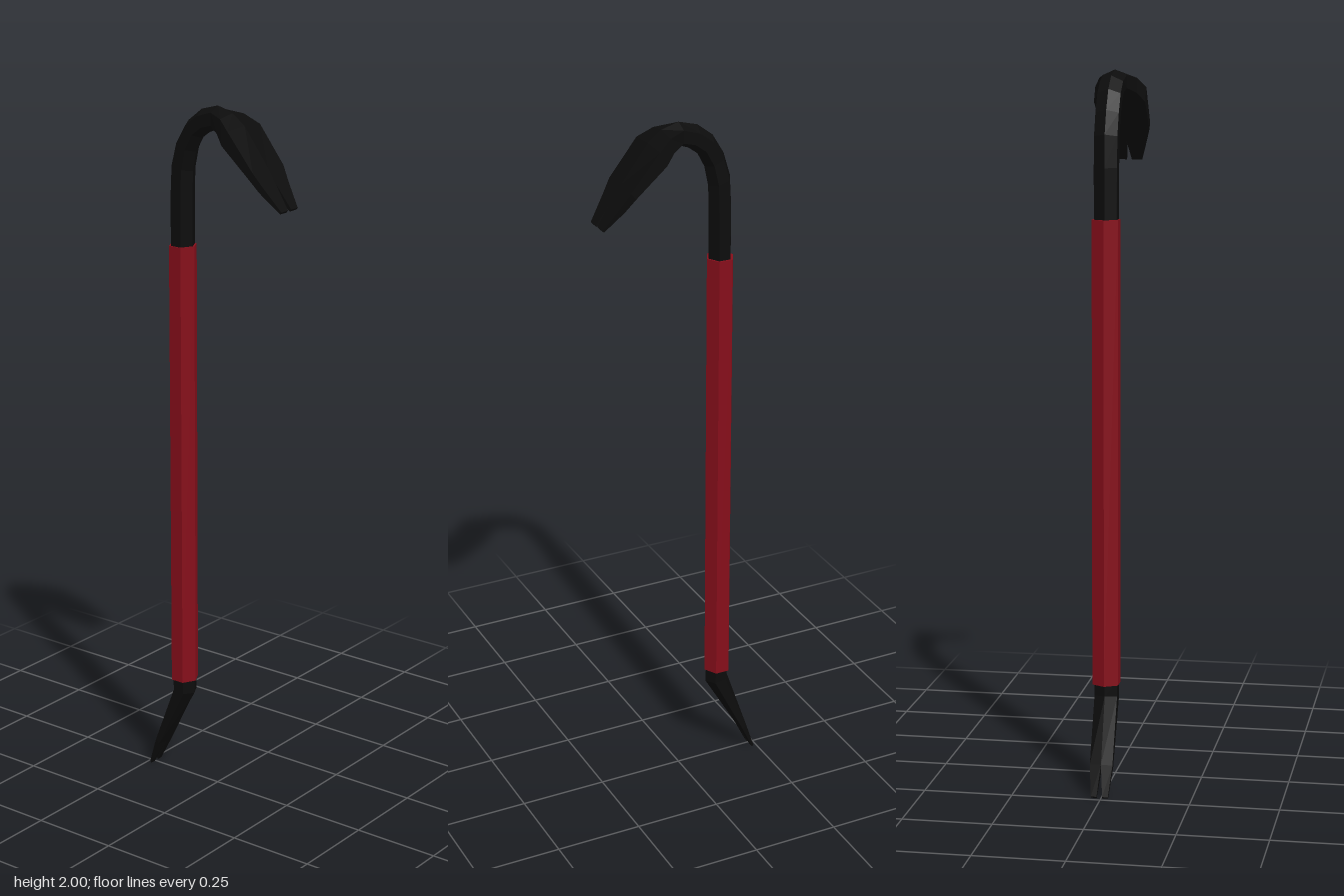
import * as THREE from 'three';

const black = new THREE.MeshStandardMaterial({ color: 0x0c0c0c, flatShading: true });
const red = new THREE.MeshStandardMaterial({ color: 0x850e1a, flatShading: true });

// Station: outer z, outer y, inner z, inner y, half width, side fraction, centre x, half gap
const lowerTip = [-0.239, 0.005, -0.234, 0.0, 0.024, 0.9, 0.004, 0.008];
const lowerFork = [-0.212, 0.09, -0.195, 0.075, 0.032, 0.7, 0.004, 0];
const upperFork = [0.195, 1.812, 0.182, 1.795, 0.057, 0.9, -0.001, 0];
const upperTip = [0.24, 1.748, 0.235, 1.742, 0.037, 0.9, 0.0, 0.007];

const shaft = [
  lowerFork,
  [-0.157, 0.27, -0.088, 0.26, 0.032, 0.5, 0.003, 0],
  [-0.157, 0.31, -0.089, 0.31, 0.032, 0.5, 0.003, 0],
  [-0.157, 1.74, -0.089, 1.74, 0.032, 0.5, 0.003, 0],
  [-0.152, 1.83, -0.087, 1.81, 0.032, 0.5, 0.003, 0],
  [-0.133, 1.895, -0.076, 1.865, 0.032, 0.5, 0.002, 0],
  [-0.1, 1.95, -0.055, 1.905, 0.032, 0.5, 0.002, 0],
  [-0.055, 1.985, -0.028, 1.925, 0.032, 0.5, 0.002, 0],
  [0.0, 2.0, 0.0, 1.935, 0.033, 0.55, 0.001, 0],
  [0.05, 1.985, 0.035, 1.927, 0.053, 0.7, 0, 0],
  [0.09, 1.955, 0.065, 1.905, 0.072, 0.8, 0, 0],
  [0.17, 1.85, 0.155, 1.83, 0.069, 0.9, -0.001, 0],
  upperFork,
];

// Turns a station and its (across, through) outline into a ring of points
function ring([oz, oy, iz, iy, , , cx], outline) {
  return outline.map(([x, n]) => [
    cx + x, (oy + iy) / 2 + n * (oy - iy) / 2, (oz + iz) / 2 + n * (oz - iz) / 2,
  ]);
}

// Six-sided section of the bar
function hexRing(s) {
  const w = s[4], f = s[5];
  return ring(s, [[0, -1], [w, -f], [w, f], [0, 1], [-w, f], [-w, -f]]);
}

// Four-sided section of one prong, side = 1 or -1
function prongRing(s, side) {
  const w = s[4], f = s[5], g = s[7];
  const outline = [[g, -1], [w, -f], [w, f], [g, 1]].map(([x, n]) => [x * side, n]);
  return ring(s, side > 0 ? outline : outline.reverse());
}

// Skins a row of rings and closes both ends
function loft(rings, name) {
  const pos = [];
  const tri = (a, b, c) => pos.push(...a, ...b, ...c);
  const n = rings[0].length;
  for (let k = 0; k < rings.length - 1; k++) {
    const a = rings[k], b = rings[k + 1];
    for (let i = 0; i < n; i++) {
      const j = (i + 1) % n;
      tri(a[i], a[j], b[j]);
      tri(a[i], b[j], b[i]);
    }
  }
  const first = rings[0], last = rings[rings.length - 1];
  for (let i = 1; i < n - 1; i++) {
    tri(first[0], first[i + 1], first[i]);
    tri(last[0], last[i], last[i + 1]);
  }
  const geo = new THREE.BufferGeometry();
  geo.setAttribute('position', new THREE.Float32BufferAttribute(pos, 3));
  geo.computeVertexNormals();
  const mesh = new THREE.Mesh(geo, black);
  mesh.name = name;
  return mesh;
}

export function createModel() {
  const group = new THREE.Group();
  group.name = 'crowbar';

  // Steel bar with bent foot and curved hook
  group.add(loft(shaft.map(hexRing), 'bar'));

  // Split prongs at both ends
  for (const [side, label] of [[1, 'Left'], [-1, 'Right']]) {
    group.add(loft([lowerTip, lowerFork].map((s) => prongRing(s, side)), 'lowerProng' + label));
    group.add(loft([upperFork, upperTip].map((s) => prongRing(s, side)), 'upperProng' + label));
  }

  // Hexagonal red grip
  const grip = new THREE.Mesh(new THREE.CylinderGeometry(0.04, 0.04, 1.3, 6), red);
  grip.name = 'grip';
  grip.scale.x = 1.05;
  grip.position.set(0.004, 0.95, -0.124);
  group.add(grip);

  return group;
}
